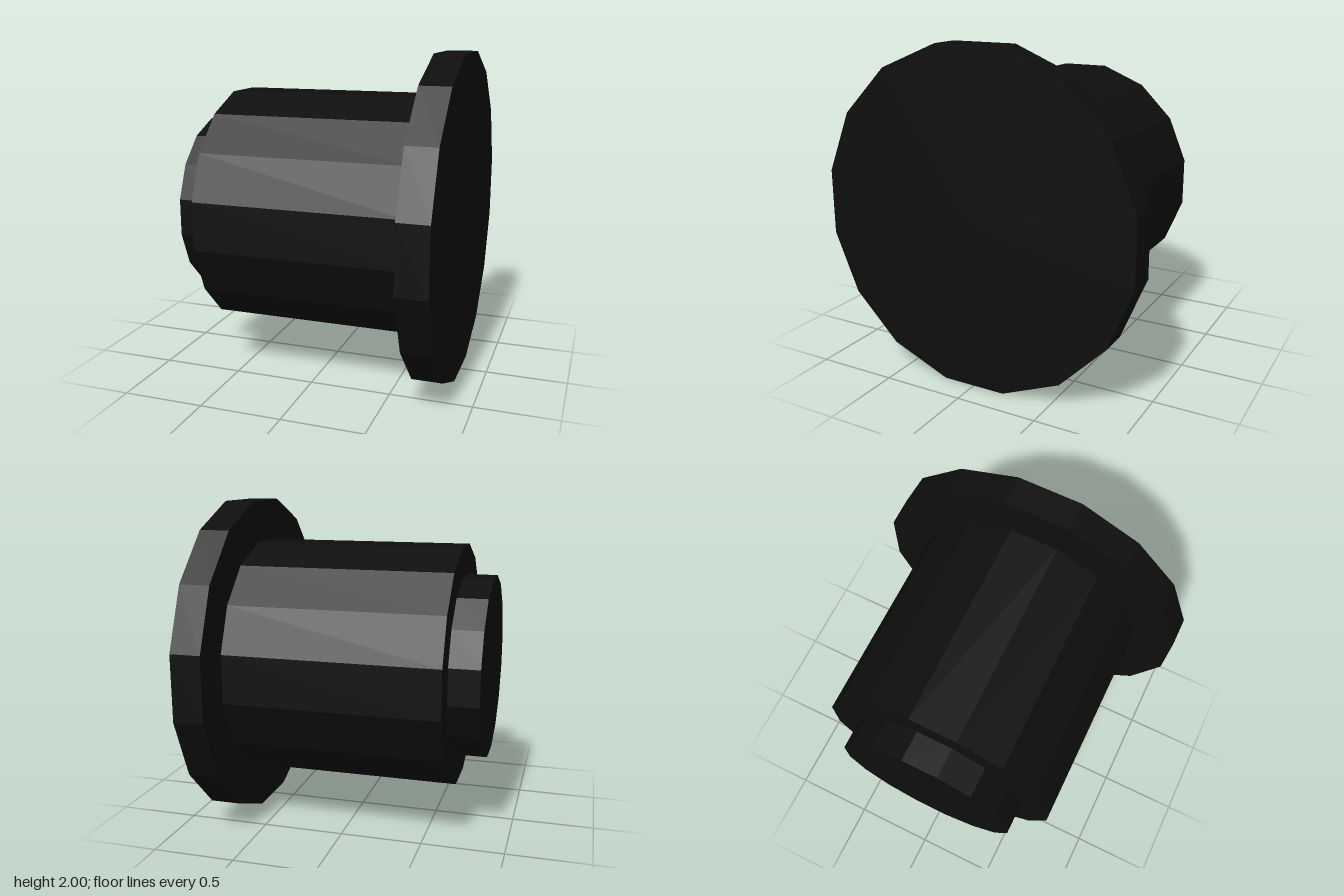
import * as THREE from 'three';

const SIDES = 16;

export function createModel() {
  const group = new THREE.Group();
  group.name = 'flangedPlug';
  const black = new THREE.MeshStandardMaterial({ color: 0x0e0e0e, flatShading: true });
  black.name = 'black';

  // 16-sided disc along x, with flats at top, bottom, front and back
  function section(name, halfHeight, x0, x1) {
    const radius = halfHeight / Math.cos(Math.PI / SIDES);
    const geometry = new THREE.CylinderGeometry(radius, radius, x1 - x0, SIDES, 1, false, Math.PI / SIDES);
    geometry.rotateZ(-Math.PI / 2);
    const mesh = new THREE.Mesh(geometry, black);
    mesh.name = name;
    mesh.position.set((x0 + x1) / 2, 1, 0);
    group.add(mesh);
  }

  section('flange', 1, 0.648, 0.833);
  section('barrel', 0.741, -0.648, 0.648);
  section('endBoss', 0.556, -0.833, -0.648);

  return group;
}
